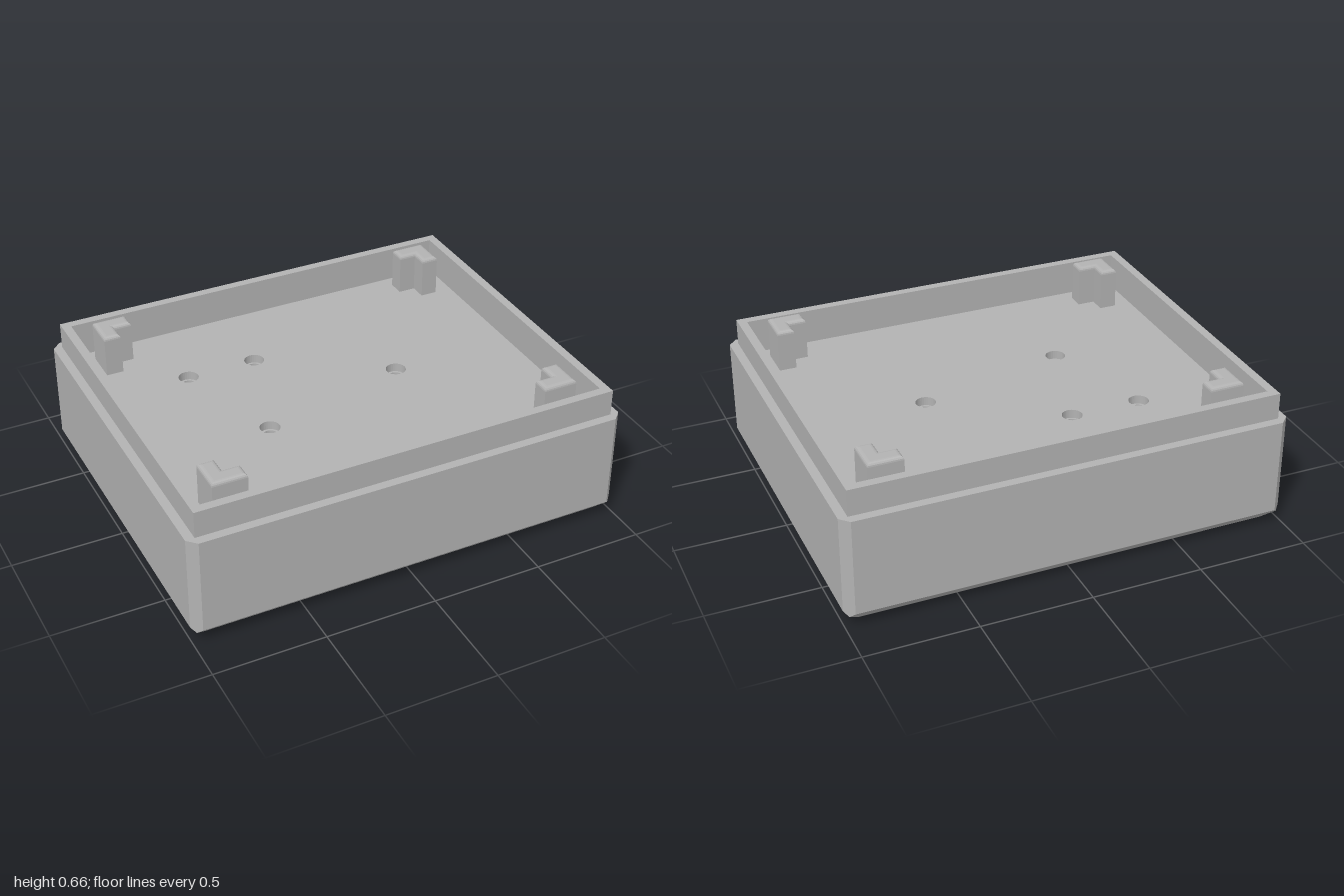
import * as THREE from 'three';

const TAU = Math.PI * 2;

// Rectangle with cut corners at height y; even edges are sides, odd edges are corners
const ring = (hx, hz, c, y) => [
  [hx, y, c - hz], [hx, y, hz - c], [hx - c, y, hz], [c - hx, y, hz],
  [-hx, y, hz - c], [-hx, y, c - hz], [c - hx, y, -hz], [hx - c, y, -hz],
];

// Flat-shaded skin between successive rings
function loft(rings, keep = () => true) {
  const pos = [];
  for (let r = 0; r < rings.length - 1; r++) {
    for (let i = 0; i < 8; i++) {
      if (!keep(i)) continue;
      const j = (i + 1) % 8;
      const [a, b, c, d] = [rings[r][i], rings[r][j], rings[r + 1][j], rings[r + 1][i]];
      pos.push(...a, ...d, ...c, ...a, ...c, ...b);
    }
  }
  const g = new THREE.BufferGeometry();
  g.setAttribute('position', new THREE.Float32BufferAttribute(pos, 3));
  g.computeVertexNormals();
  return g;
}

export function createModel() {
  const model = new THREE.Group();
  const grey = new THREE.MeshStandardMaterial({ color: 0xb2b2b2, side: THREE.DoubleSide });
  grey.name = 'grey plastic';
  const add = (geometry, name, parent = model) => {
    const mesh = new THREE.Mesh(geometry, grey);
    mesh.name = name;
    parent.add(mesh);
    return mesh;
  };

  const ceilingY = 0.27, floorY = 0.47, footY = 0.115;
  const foot = { x: 0.91, z: 0.73, c: 0.07 };
  const ceil = { x: 0.74, z: 0.56, c: 0.075 };
  const footRing = ring(foot.x, foot.z, foot.c, footY);
  const ceilRing = ring(ceil.x, ceil.z, ceil.c, ceilingY);

  // Outer shell: recess ledge, rim, chamfer, walls, shoulder and raised lip
  add(loft([
    footRing,
    ring(0.93, 0.75, 0, footY),
    ring(0.93, 0.75, 0, 0),
    ring(0.98, 0.80, 0, 0.05),
    ring(1, 0.82, 0.04, 0.07),
    ring(1, 0.82, 0.04, 0.51),
    ring(0.96, 0.78, 0, 0.51),
    ring(0.96, 0.78, 0, 0.63),
    ring(0.92, 0.74, 0, 0.63),
    ring(0.92, 0.74, 0, floorY),
  ]), 'shell');

  // Sloped corners of the underside recess
  add(loft([ceilRing, footRing], (i) => i % 2 === 1), 'recessCorners');

  // Tray floor and recess ceiling, pierced by stepped screw holes
  const holes = [[-0.52, -0.35], [-0.2, -0.35], [0.34, 0], [-0.36, 0.17]];
  const plate = (points, radius, y, name) => {
    const shape = new THREE.Shape(points.map((p) => new THREE.Vector2(p[0], -p[2])));
    for (const [x, z] of holes) {
      shape.holes.push(new THREE.Path().absarc(x, -z, radius, 0, TAU, true));
    }
    const g = new THREE.ShapeGeometry(shape, 16).rotateX(-Math.PI / 2);
    if (y === ceilingY) {
      // Turn the ceiling to face down
      g.scale(1, 1, -1).rotateX(Math.PI).rotateX(0);
      const idx = g.index.array;
      for (let i = 0; i < idx.length; i += 3) [idx[i], idx[i + 1]] = [idx[i + 1], idx[i]];
      g.computeVertexNormals();
    }
    add(g.translate(0, y, 0), name);
  };
  plate(ring(0.92, 0.74, 0, 0).filter((p, i) => i % 2 === 0), 0.045, floorY, 'trayFloor');
  plate(ceilRing, 0.034, ceilingY, 'recessCeiling');

  const holeProfile = [[0.034, ceilingY], [0.034, 0.43], [0.045, 0.43], [0.045, floorY]]
    .map(([r, y]) => new THREE.Vector2(r, y));
  for (const [x, z] of holes) {
    const g = new THREE.LatheGeometry(holeProfile, 32).toNonIndexed();
    g.computeVertexNormals();
    add(g, 'screwHole').position.set(x, 0, z);
  }

  // Four sloped recess walls, each with a round blind pocket
  const run = foot.x - ceil.x, rise = ceilingY - footY;
  const half = Math.hypot(run, rise) / 2;
  const pocketR = 0.105, pocketDepth = 0.08;
  for (let k = 0; k < 4; k++) {
    const [across, out] = k % 2 ? ['z', 'x'] : ['x', 'z'];
    const lower = foot[across] - foot.c, upper = ceil[across] - ceil.c;
    const side = new THREE.Group();
    side.name = 'recessSide';
    side.rotation.y = k * Math.PI / 2;
    model.add(side);

    const wall = new THREE.Group();
    wall.name = 'slopedWall';
    wall.position.set(0, (footY + ceilingY) / 2, -(foot[out] + ceil[out]) / 2);
    wall.rotation.x = Math.atan2(run, rise);
    side.add(wall);

    const shape = new THREE.Shape([
      new THREE.Vector2(-lower, -half), new THREE.Vector2(lower, -half),
      new THREE.Vector2(upper, half), new THREE.Vector2(-upper, half),
    ]);
    shape.holes.push(new THREE.Path().absarc(0, 0, pocketR, 0, TAU, true));
    add(new THREE.ShapeGeometry(shape, 24), 'slopedPanel', wall);
    const tube = new THREE.CylinderGeometry(pocketR, pocketR, pocketDepth, 48, 1, true);
    add(tube.rotateX(Math.PI / 2).translate(0, 0, -pocketDepth / 2), 'pocketWall', wall);
    add(new THREE.CircleGeometry(pocketR, 48).translate(0, 0, -pocketDepth), 'pocketFloor', wall);
  }

  // L-shaped corner posts with rounded tops
  const b = 0.018, x0 = 0.685, x1 = 0.84, z0 = 0.525, z1 = 0.68, leg = 0.077;
  for (const sx of [-1, 1]) {
    for (const sz of [-1, 1]) {
      const outline = [
        [x1, z1], [x0, z1], [x0, z1 - leg], [x1 - leg, z1 - leg], [x1 - leg, z0], [x1, z0],
      ].map(([x, z]) => new THREE.Vector2(x * sx, z * sz));
      const g = new THREE.ExtrudeGeometry(new THREE.Shape(outline), {
        depth: 0.22, bevelEnabled: true, bevelSize: b, bevelThickness: b,
        bevelOffset: -b, bevelSegments: 4,
      });
      g.rotateX(-Math.PI / 2).translate(0, 0.662 - 0.22 - b, 0);
      add(g, 'cornerPost');
    }
  }
  return model;
}
